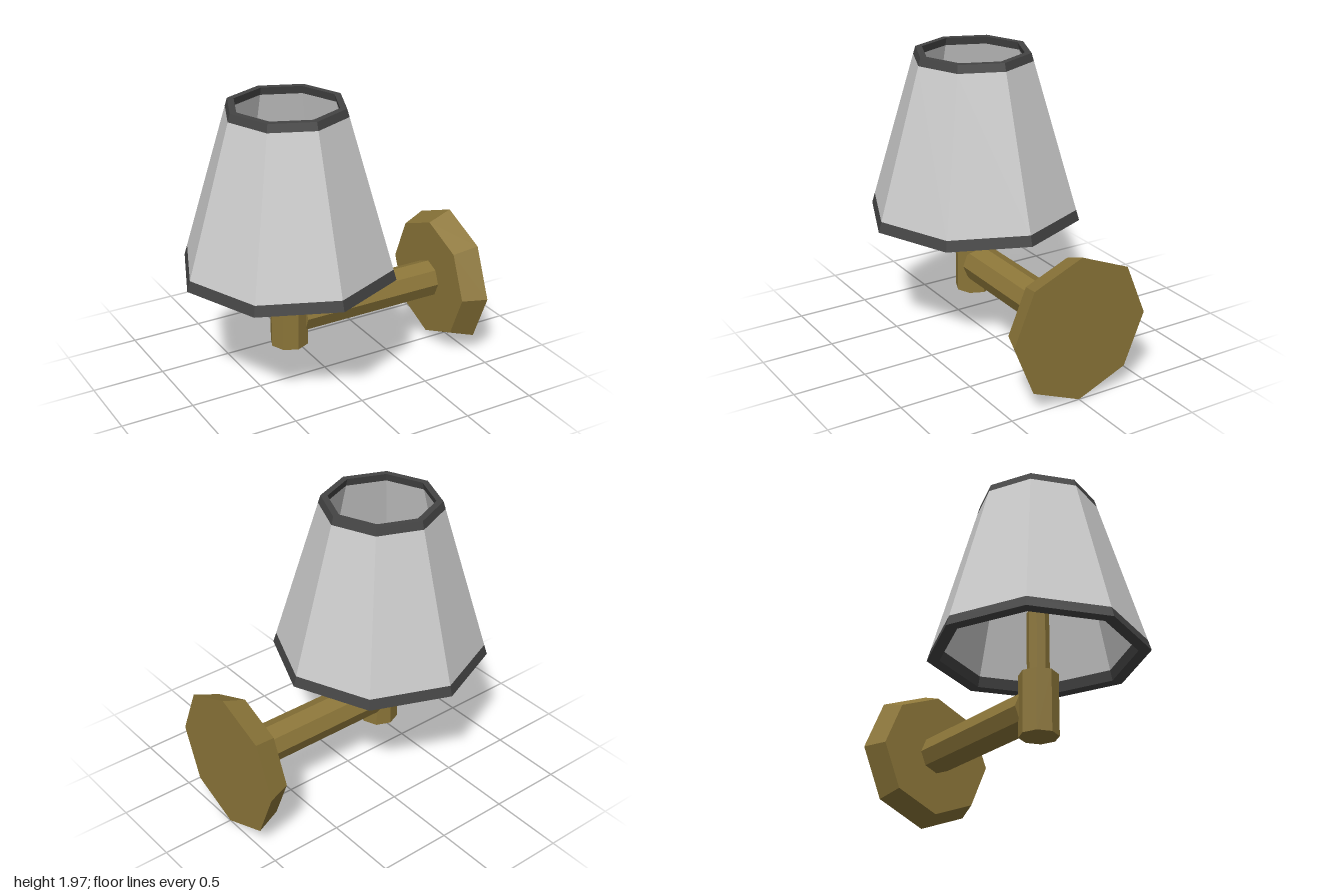
import * as THREE from 'three';

const SIDES = 8;
const AXIS_X = -0.274; // vertical axis of shade, holder and stem
const ARM_Y = 0.487; // height of the horizontal arm

const material = (color, side = THREE.FrontSide) =>
  new THREE.MeshStandardMaterial({ color, flatShading: true, side });

export function createModel() {
  const group = new THREE.Group();
  const brass = material(0x8c7639);
  const dark = material(0x444444);
  const fabric = material(0xcccccc, THREE.DoubleSide);

  const add = (name, geometry, mat, x, y) => {
    const mesh = new THREE.Mesh(geometry, mat);
    mesh.name = name;
    mesh.position.set(x, y, 0);
    group.add(mesh);
  };

  // Upright octagonal post between two heights
  const post = (name, r, y0, y1) =>
    add(name, new THREE.CylinderGeometry(r, r, y1 - y0, SIDES), brass, AXIS_X, (y0 + y1) / 2);

  // Octagonal prism lying along x, radius r0 at x0 and r1 at x1
  const bar = (name, r0, r1, x0, x1) => {
    const geometry = new THREE.CylinderGeometry(r0, r1, x1 - x0, SIDES).rotateZ(Math.PI / 2);
    add(name, geometry, brass, (x0 + x1) / 2, ARM_Y);
  };

  // Eight-sided ring turned from [radius, height] points
  const turned = (name, points, mat) =>
    add(name, new THREE.LatheGeometry(points.map(([r, y]) => new THREE.Vector2(r, y)), SIDES), mat, AXIS_X, 0);

  // Bracket: wall plate, arm, holder and stem
  bar('wallPlate', 0.424, 0.487, 0.835, 1);
  bar('arm', 0.132, 0.132, -0.2, 0.84);
  post('lampHolder', 0.131, 0.284, 0.706);
  post('stem', 0.074, 0.7, 1.15);

  // Hollow shade, its wall thicker towards the bottom, with dark trim at both rims
  const bottom = 0.842, top = 1.974;
  const outer = (y) => [THREE.MathUtils.mapLinear(y, bottom, top, 0.726, 0.39), y];
  const inner = (y) => [outer(y)[0] * 0.885, y];
  const lowTrim = 0.913, highTrim = 1.921;
  turned('shadeOuter', [outer(lowTrim), outer(highTrim)], fabric);
  turned('shadeInner', [inner(highTrim), inner(lowTrim)], fabric);
  turned('bottomTrim', [inner(lowTrim), inner(bottom), outer(bottom), outer(lowTrim)], dark);
  turned('topTrim', [outer(highTrim), outer(top), inner(top), inner(highTrim)], dark);

  return group;
}
